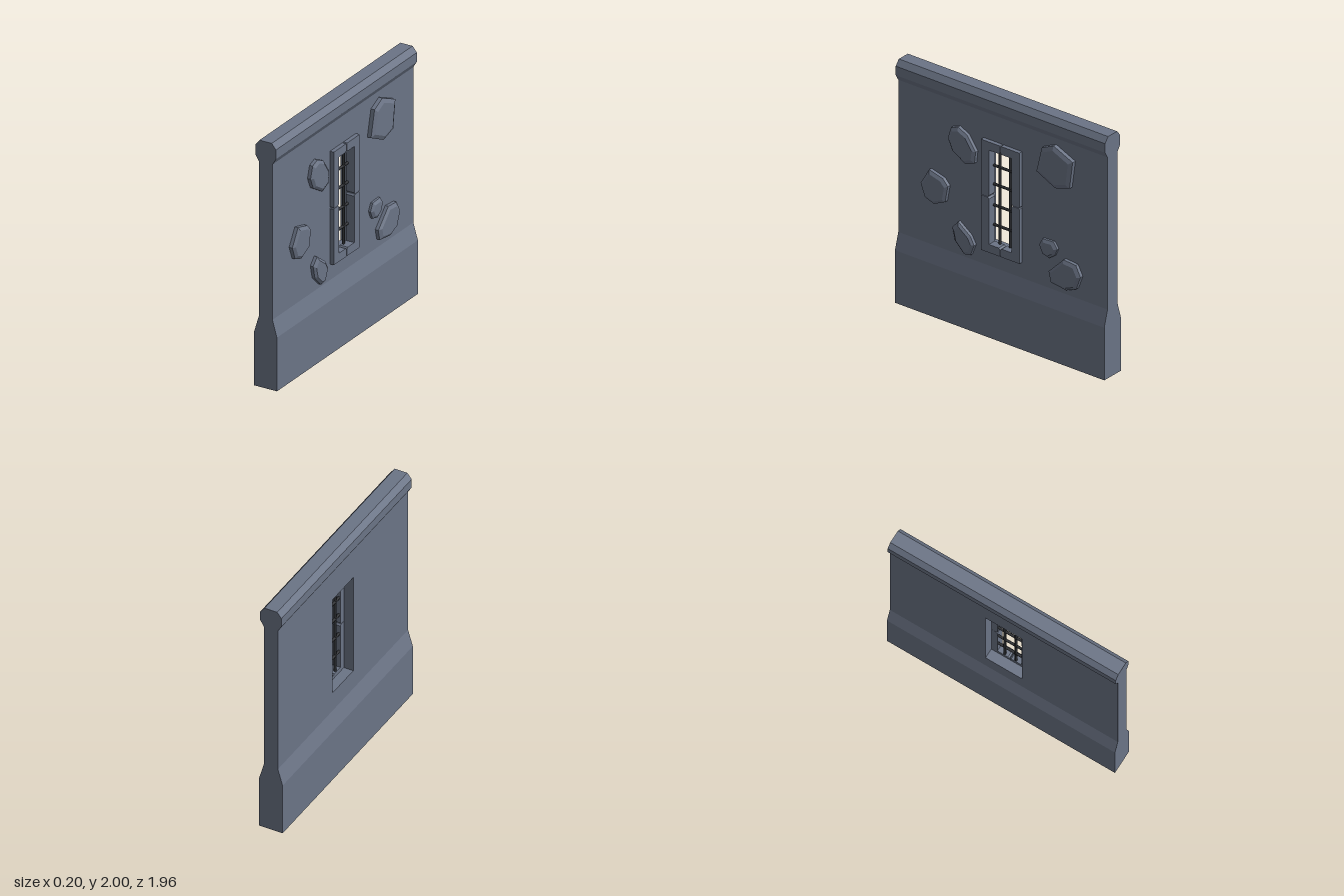
import * as THREE from 'three';
import { ConvexGeometry } from 'three/addons/geometries/ConvexGeometry.js';

export function createModel() {
  const model = new THREE.Group();
  model.name = 'wallSegment';
  const stone = new THREE.MeshStandardMaterial({ color: 0x6b7486 });
  stone.name = 'slateStone';
  const iron = new THREE.MeshStandardMaterial({ color: 0x2b2d31 });
  iron.name = 'darkIron';

  const add = (name, geometry, material, parent = model) => {
    const mesh = new THREE.Mesh(geometry, material);
    mesh.name = name;
    parent.add(mesh);
    return mesh;
  };
  const toShape = (points) => new THREE.Shape(points.map(([x, y]) => new THREE.Vector2(x, y)));
  const HALF = 0.982;

  // Profile in x,y swept along the length of the wall
  const sweep = (points) => new THREE.ExtrudeGeometry(toShape(points),
    { depth: HALF * 2, bevelEnabled: false }).translate(0, 0, -HALF);

  // Outline in -z,y given a thickness along x
  const slab = (shape, x0, x1) => new THREE.ExtrudeGeometry(shape,
    { depth: x1 - x0, bevelEnabled: false }).rotateY(Math.PI / 2).translate(x0, 0, 0);

  // Battered foot and rounded coping
  add('wallFoot', sweep([[-0.105, 0], [0.092, 0], [0.092, 0.435], [0.053, 0.57],
    [-0.065, 0.57], [-0.105, 0.435]]), stone);
  add('wallCoping', sweep([[-0.065, 1.83], [0.053, 1.83], [0.083, 1.88], [0.083, 1.955],
    [0.047, 2], [-0.059, 2], [-0.095, 1.955], [-0.095, 1.88]]), stone);

  // Wall panel with the window opening
  const midY = 1.157;
  const panel = toShape([[-HALF, 0.57], [HALF, 0.57], [HALF, 1.83], [-HALF, 1.83]]);
  panel.holes.push(new THREE.Path([[-0.157, -0.425], [-0.157, 0.425], [0.157, 0.425], [0.157, -0.425]]
    .map(([s, y]) => new THREE.Vector2(s, midY + y))));
  add('wallPanel', slab(panel, -0.065, 0.053), stone);

  // Window surround: four mirrored corner blocks with chipped joints
  const surround = new THREE.Group();
  surround.name = 'windowSurround';
  model.add(surround);
  const g = 0.002, c = 0.012;
  const corner = [[g, 0.458 - c / 2], [g + c / 2, 0.458], [0.18, 0.458], [0.18, g + c / 2],
    [0.18 - c / 2, g], [0.105 + c, g], [0.105, g + c], [0.105, 0.39], [g + c, 0.39], [g, 0.39 + c]];
  for (const sx of [-1, 1]) for (const sy of [-1, 1]) {
    const shape = toShape(corner.map(([s, y]) => [sx * s, midY + sy * y]));
    add('surroundBlock', slab(shape, 0.015, 0.086), stone, surround);
  }

  // Iron grille
  const grille = new THREE.Group();
  grille.name = 'windowGrille';
  model.add(grille);
  for (const z of [-0.048, 0.048]) {
    add('verticalBar', new THREE.CylinderGeometry(0.011, 0.011, 0.82, 8), iron, grille)
      .position.set(0.027, midY, z);
  }
  for (const y of [0.91, 1.072, 1.245, 1.4]) {
    const bar = add('crossBar', new THREE.CylinderGeometry(0.011, 0.011, 0.24, 8), iron, grille);
    bar.rotation.x = Math.PI / 2;
    bar.position.set(0.027, y, 0);
  }

  // Protruding stones: z,y outlines with a chamfered face
  const stones = [
    { x: 0.1, inset: 0.8, outline: [[-0.39, 1.73], [-0.5, 1.78], [-0.68, 1.7], [-0.65, 1.475],
      [-0.515, 1.435], [-0.34, 1.52]] },
    { x: 0.095, inset: 0.8, outline: [[0.465, 1.615], [0.4, 1.64], [0.315, 1.6], [0.235, 1.485],
      [0.245, 1.39], [0.33, 1.355], [0.455, 1.43], [0.495, 1.52]] },
    { x: 0.096, inset: 0.8, outline: [[0.67, 1.2], [0.54, 1.165], [0.495, 1.115], [0.52, 0.98],
      [0.625, 0.93], [0.71, 0.96], [0.75, 1.065]] },
    { x: 0.093, inset: 0.76, outline: [[0.4, 0.855], [0.285, 0.77], [0.25, 0.705], [0.285, 0.615],
      [0.345, 0.605], [0.43, 0.69], [0.455, 0.795]] },
    { x: 0.086, inset: 0.68, outline: [[-0.385, 0.97], [-0.49, 0.975], [-0.525, 0.925], [-0.5, 0.865],
      [-0.45, 0.83], [-0.385, 0.845], [-0.355, 0.91]] },
    { x: 0.095, inset: 0.8, outline: [[-0.59, 0.865], [-0.705, 0.855], [-0.75, 0.77], [-0.71, 0.66],
      [-0.615, 0.62], [-0.47, 0.64], [-0.45, 0.725]] },
  ];
  for (const { x, inset, outline } of stones) {
    const cz = outline.reduce((t, p) => t + p[0], 0) / outline.length;
    const cy = outline.reduce((t, p) => t + p[1], 0) / outline.length;
    const points = [];
    for (const [px, k] of [[0.04, 1], [x - 0.015, 1], [x, inset]]) {
      for (const [z, y] of outline) {
        points.push(new THREE.Vector3(px, cy + (y - cy) * k, cz + (z - cz) * k));
      }
    }
    add('protrudingStone', new ConvexGeometry(points), stone);
  }
  return model;
}
